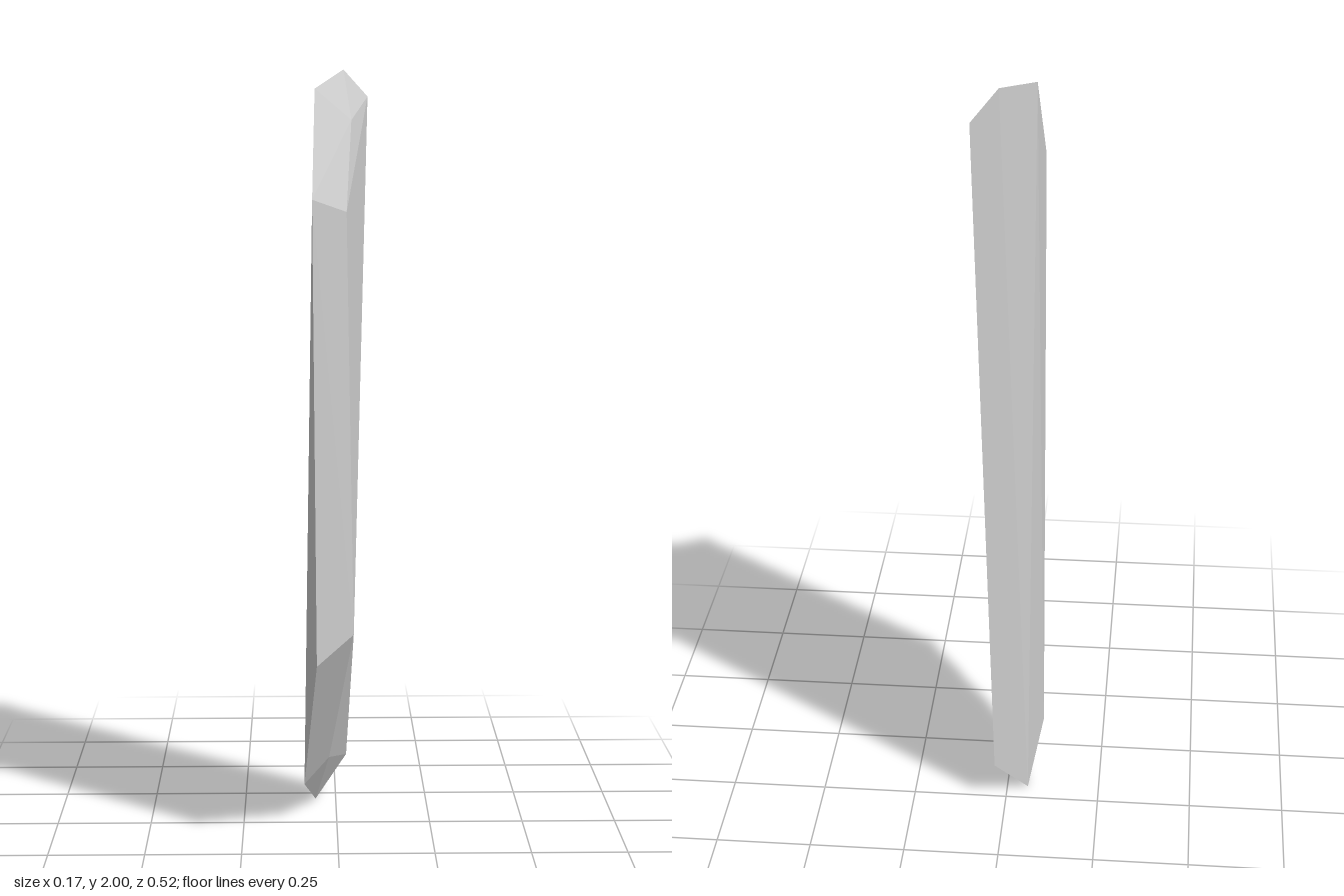
import * as THREE from 'three';
import { ConvexGeometry } from 'three/addons/geometries/ConvexGeometry.js';

// Corners of the faceted shard, grouped by height
const tip = [
  [0.02, 2.0, -0.175],
  [0.085, 1.93, -0.225],
  [-0.057, 1.95, 0.022],
  [0.038, 1.87, -0.04],
];
const shaft = [
  [-0.065, 1.68, 0.25],
  [0.022, 1.645, 0.153],
  [-0.055, 0.5, 0.26],
  [0.041, 0.56, 0.165],
];
const foot = [
  [-0.087, 0.1, -0.02],
  [-0.02, 0.16, -0.07],
  [0.03, 0.11, -0.26],
  [-0.056, 0.0, -0.2],
];

export function createModel() {
  const group = new THREE.Group();
  group.name = 'crystal';

  // One convex body with flat facets
  const corners = [...tip, ...shaft, ...foot].map((p) => new THREE.Vector3(...p));
  const shard = new THREE.Mesh(
    new ConvexGeometry(corners),
    new THREE.MeshStandardMaterial({ color: 0xcccccc, flatShading: true })
  );
  shard.name = 'shard';
  group.add(shard);

  return group;
}
